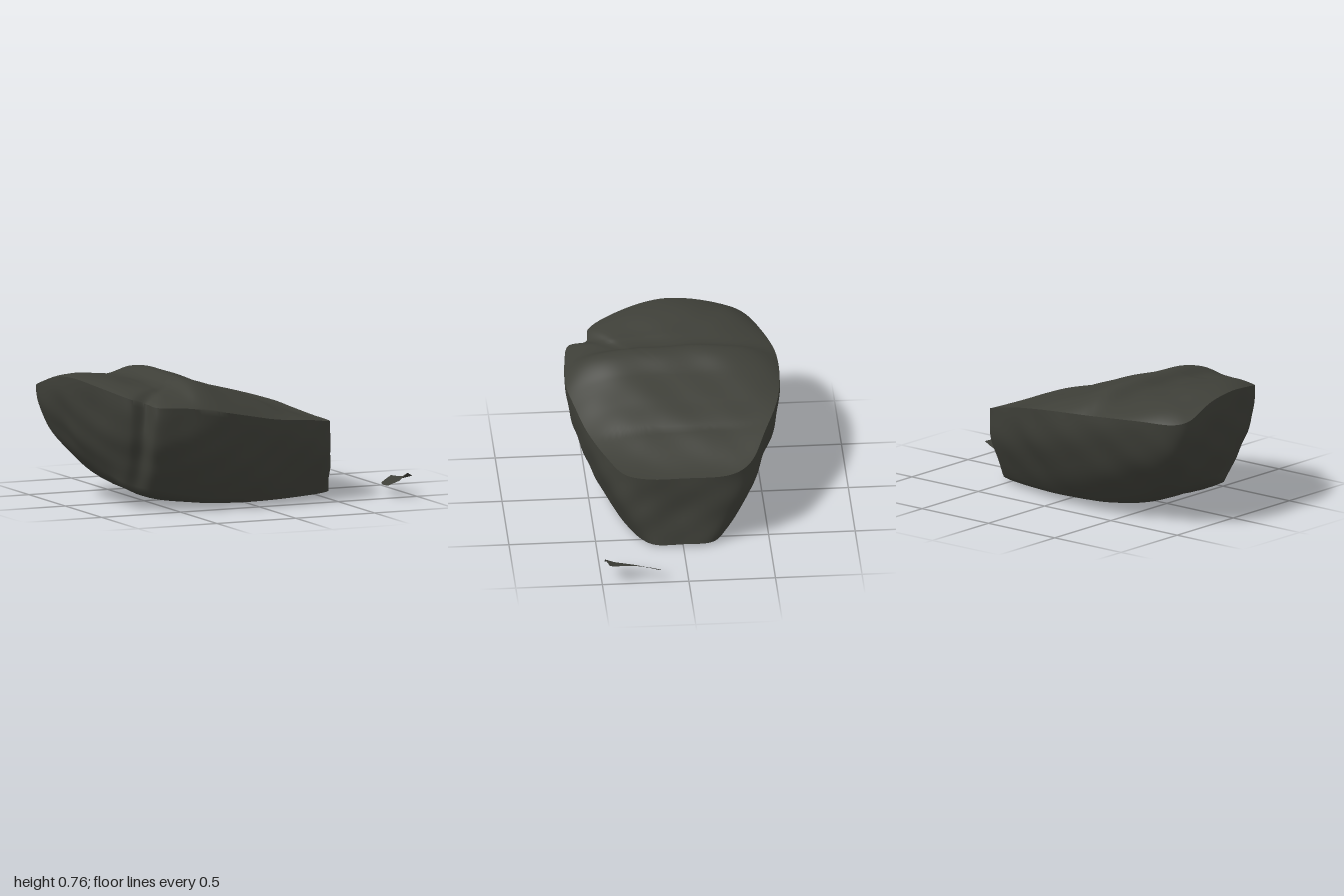
import * as THREE from 'three';
import { toCreasedNormals } from 'three/addons/utils/BufferGeometryUtils.js';

// Stations around the boulder: upper rim x, y, z, then foot x, y, z
const STATIONS = [
  [0.57, 0.44, 0, 0.6, 0.02, 0], [0.565, 0.44, 0.2, 0.595, 0.02, 0.16],
  [0.52, 0.45, 0.33, 0.53, 0.02, 0.23], [0.35, 0.48, 0.43, 0.32, 0.02, 0.32],
  [0.1, 0.51, 0.52, 0.08, 0.02, 0.38], [-0.1, 0.55, 0.57, -0.12, 0.025, 0.41],
  [-0.3, 0.59, 0.61, -0.32, 0.04, 0.42], [-0.5, 0.62, 0.6, -0.5, 0.075, 0.4],
  [-0.68, 0.63, 0.56, -0.63, 0.1, 0.36], [-0.7, 0.64, 0.46, -0.69, 0.11, 0.28],
  [-0.79, 0.67, 0.44, -0.74, 0.13, 0.22], [-0.9, 0.72, 0.25, -0.76, 0.16, 0.11],
  [-0.965, 0.75, 0.02, -0.77, 0.17, 0], [-0.985, 0.73, -0.18, -0.76, 0.17, -0.12],
  [-1, 0.66, -0.4, -0.73, 0.16, -0.22], [-0.95, 0.645, -0.47, -0.65, 0.13, -0.28],
  [-0.75, 0.65, -0.55, -0.53, 0.1, -0.33], [-0.45, 0.645, -0.62, -0.35, 0.07, -0.37],
  [-0.05, 0.61, -0.6, -0.05, 0.05, -0.37], [0.25, 0.55, -0.5, 0.2, 0.04, -0.33],
  [0.5, 0.48, -0.39, 0.48, 0.03, -0.25], [0.565, 0.45, -0.28, 0.585, 0.02, -0.17],
];

// Height of the sloping top along its middle
const CROWN = [[-1.1, 0.75], [-0.93, 0.785], [-0.6, 0.72], [-0.49, 0.715], [-0.39, 0.755], [-0.2, 0.69], [0, 0.63], [0.2, 0.56], [0.7, 0.42]];
const crownCurve = new THREE.SplineCurve(CROWN.map(([x, y]) => new THREE.Vector2(x, y)));
function crownHeight(x) {
  let i = 0;
  while (i < CROWN.length - 2 && x > CROWN[i + 1][0]) i++;
  const f = (x - CROWN[i][0]) / (CROWN[i + 1][0] - CROWN[i][0]);
  return crownCurve.getPoint((i + f) / (CROWN.length - 1)).y;
}

// Gentle worn unevenness
const wear = (x, y, z) =>
  Math.sin(7 * x + 9 * y + 2) * Math.sin(8 * z - 5 * y) * 0.6 +
  Math.sin(17 * x - 13 * y) * Math.sin(19 * z + 11 * y + 1) * 0.4;

// Triangles between consecutive rows of equal length
function skin(rows, closed) {
  const n = rows[0].length, index = [];
  for (let i = 0; i < rows.length - 1; i++) {
    for (let j = 0; j < (closed ? n : n - 1); j++) {
      const k = (j + 1) % n;
      const a = i * n + j, b = a + n, c = (i + 1) * n + k, d = i * n + k;
      index.push(a, b, c, a, c, d);
    }
  }
  const geo = new THREE.BufferGeometry();
  geo.setAttribute('position', new THREE.Float32BufferAttribute(rows.flat(2), 3));
  geo.setIndex(index);
  geo.computeVertexNormals();
  return geo;
}

function boulderGeometry() {
  const loop = (o) => new THREE.CatmullRomCurve3(
    STATIONS.map((s) => new THREE.Vector3(s[o], s[o + 1], s[o + 2])), true, 'centripetal');
  const rimCurve = loop(0), footCurve = loop(3);
  const columns = STATIONS.length * 7;
  const rim = [], foot = [];
  for (let j = 0; j < columns; j++) {
    rim.push(rimCurve.getPoint(j / columns));
    foot.push(footCurve.getPoint(j / columns));
  }
  const rows = [];
  // Underside, from its centre to the foot
  for (const s of [0.002, 0.25, 0.5, 0.7, 0.82, 0.92]) {
    rows.push(foot.map((f) => [-0.1 + (f.x + 0.1) * s, 0.005 + (f.y - 0.005) * s ** 3, f.z * s]));
  }
  // Bulging sides
  for (let i = 0; i <= 18; i++) {
    const t = i / 18, h = 1 - (1 - t) ** 2.1, fade = Math.sin(Math.PI * t);
    rows.push(foot.map((f, j) => {
      const r = rim[j];
      const x = f.x + (r.x - f.x) * h, y = f.y + (r.y - f.y) * t, z = f.z + (r.z - f.z) * h;
      const d = 0.016 * fade * wear(x, y, z), len = Math.hypot(x + 0.2, z);
      return [x + d * (x + 0.2) / len, y, z + d * z / len];
    }));
  }
  // Crowned top, from the rim to its centre
  for (let i = 1; i <= 36; i++) {
    const s = Math.max(0.002, 1 - (i / 36) ** 1.25);
    const up = 1 - s ** 3.8;
    rows.push(rim.map((r) => {
      const x = -0.2 + (r.x + 0.2) * s, z = r.z * s;
      const y = r.y + (crownHeight(x) - r.y) * up + 0.007 * up * wear(x, 0, z);
      return [x, y, z];
    }));
  }
  return toCreasedNormals(skin(rows, true), 0.9);
}

// Thin curled chip lying beside the boulder
function flakeGeometry() {
  return skin([
    [[0.93, 0.045, 0.16], [0.965, 0.065, 0.152], [1, 0.085, 0.15]],
    [[0.9, 0.05, 0.23], [0.935, 0.068, 0.225], [0.975, 0.092, 0.22]],
    [[0.875, 0.055, 0.3], [0.915, 0.075, 0.3], [0.965, 0.1, 0.3]],
    [[0.85, 0.065, 0.42], [0.92, 0.1, 0.42], [0.985, 0.115, 0.43]],
    [[0.9, 0.1, 0.48], [0.95, 0.143, 0.48], [0.99, 0.12, 0.455]],
  ], false);
}

export function createModel() {
  const stone = new THREE.MeshStandardMaterial({ color: 0x3e3f38, side: THREE.DoubleSide });
  stone.name = 'dark stone';
  const group = new THREE.Group();
  group.name = 'rock';
  const add = (name, geometry) => {
    const mesh = new THREE.Mesh(geometry, stone);
    mesh.name = name;
    group.add(mesh);
  };
  add('boulder', boulderGeometry());
  add('flake', flakeGeometry());
  return group;
}
